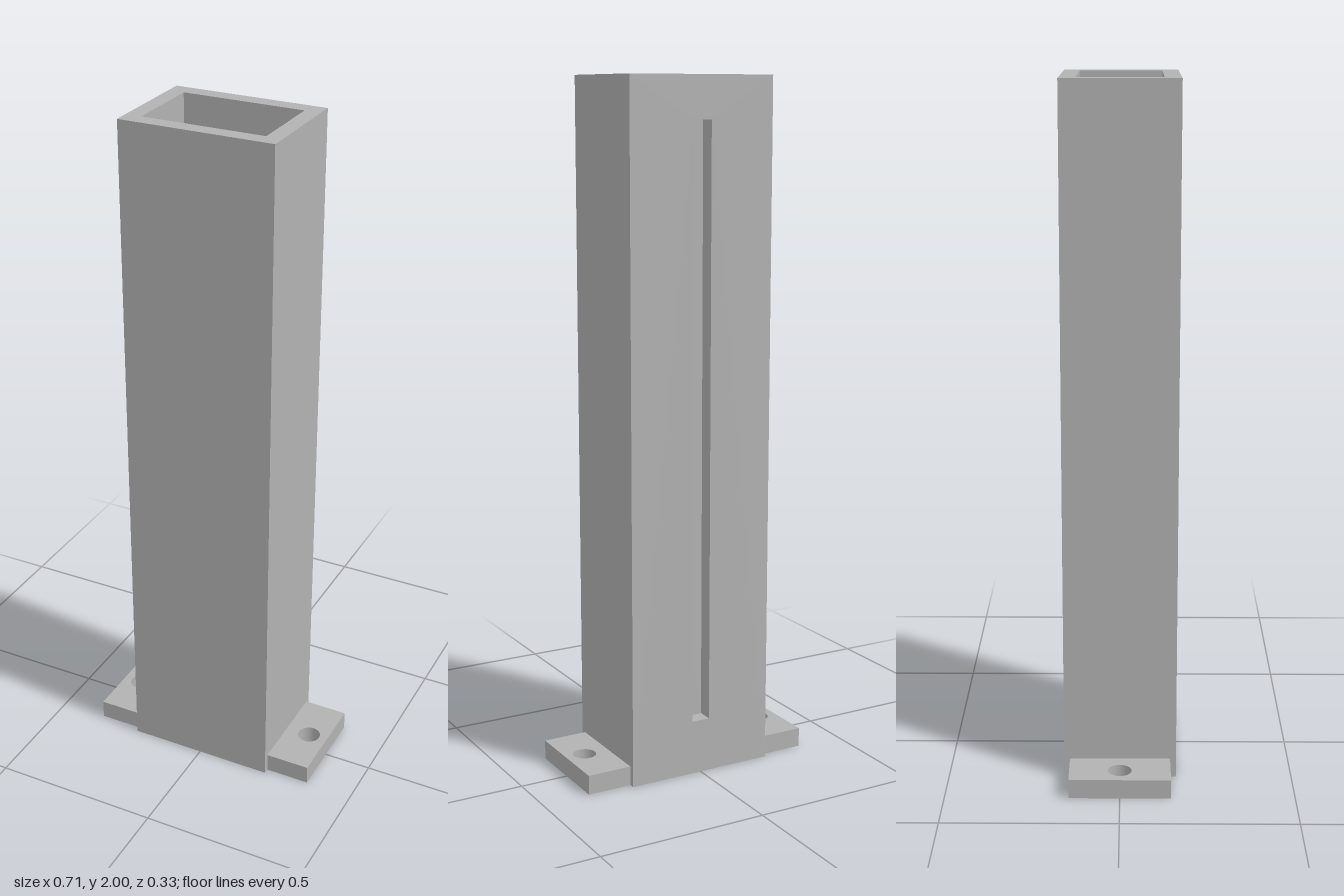
import * as THREE from 'three';
import { mergeGeometries } from 'three/addons/utils/BufferGeometryUtils.js';

const H = 2;                         // tower height
const OX = 0.224, OZ = 0.163;        // outer half sizes
const IX = 0.178, IZ = 0.117;        // cavity half sizes
const SLOT = { half: 0.028, y0: 0.16, y1: 1.88 };
const TAB = { end: 0.357, halfDepth: 0.146, height: 0.057, holeX: 0.298, holeR: 0.034 };

function trace(path, x0, y0, x1, y1) {
  path.moveTo(x0, y0);
  path.lineTo(x1, y0);
  path.lineTo(x1, y1);
  path.lineTo(x0, y1);
  path.closePath();
  return path;
}

// Flat rectangle facing +z with an optional hole
function panel(x0, y0, x1, y1, hole) {
  const shape = trace(new THREE.Shape(), x0, y0, x1, y1);
  if (hole) shape.holes.push(hole);
  return new THREE.ShapeGeometry(shape);
}

export function createModel() {
  const group = new THREE.Group();
  const grey = new THREE.MeshStandardMaterial({ color: 0xb2b2b2 });
  grey.name = 'grey';
  const add = (name, geometry) => {
    const mesh = new THREE.Mesh(geometry, grey);
    mesh.name = name;
    group.add(mesh);
    return mesh;
  };
  const slotHole = () => trace(new THREE.Path(), -SLOT.half, SLOT.y0, SLOT.half, SLOT.y1);
  const rimHole = () => trace(new THREE.Path(), -IX, -IZ, IX, IZ);

  // Outer skin, with the slot in the back
  add('outerWalls', mergeGeometries([
    panel(-OX, 0, OX, H).translate(0, 0, OZ),
    panel(-OX, 0, OX, H, slotHole()).rotateY(Math.PI).translate(0, 0, -OZ),
    panel(-OZ, 0, OZ, H).rotateY(Math.PI / 2).translate(OX, 0, 0),
    panel(-OZ, 0, OZ, H).rotateY(-Math.PI / 2).translate(-OX, 0, 0),
  ]));

  // Cavity skin, facing inward
  add('innerWalls', mergeGeometries([
    panel(-IX, 0, IX, H).rotateY(Math.PI).translate(0, 0, IZ),
    panel(-IX, 0, IX, H, slotHole()).translate(0, 0, -IZ),
    panel(-IZ, 0, IZ, H).rotateY(-Math.PI / 2).translate(IX, 0, 0),
    panel(-IZ, 0, IZ, H).rotateY(Math.PI / 2).translate(-IX, 0, 0),
  ]));

  // Open top and bottom rims
  add('rims', mergeGeometries([
    panel(-OX, -OZ, OX, OZ, rimHole()).rotateX(-Math.PI / 2).translate(0, H, 0),
    panel(-OX, -OZ, OX, OZ, rimHole()).rotateX(Math.PI / 2),
  ]));

  // Four faces lining the slot through the back wall
  const { half, y0, y1 } = SLOT;
  add('slotLining', mergeGeometries([
    panel(-OZ, y0, -IZ, y1).rotateY(Math.PI / 2).scale(1, 1, -1).translate(-half, 0, 0),
    panel(-OZ, y0, -IZ, y1).rotateY(-Math.PI / 2).translate(half, 0, 0),
    panel(-half, IZ, half, OZ).rotateX(-Math.PI / 2).translate(0, y0, 0),
    panel(-half, -OZ, half, -IZ).rotateX(Math.PI / 2).translate(0, y1, 0),
  ].map((g, i) => {
    // the mirrored lining face needs its corner order reversed
    if (i === 0) {
      g.index.array.reverse();
    }
    return g;
  })));

  // Mounting tabs with screw holes
  for (const [name, side] of [['leftTab', 1], ['rightTab', -1]]) {
    const shape = trace(new THREE.Shape(), OX, -TAB.halfDepth, TAB.end, TAB.halfDepth);
    shape.holes.push(new THREE.Path().absarc(TAB.holeX, 0, TAB.holeR, 0, Math.PI * 2, true));
    const geometry = new THREE.ExtrudeGeometry(shape, {
      depth: TAB.height, bevelEnabled: false, curveSegments: 32,
    }).rotateX(-Math.PI / 2);
    add(name, geometry).rotation.y = side > 0 ? 0 : Math.PI;
  }

  return group;
}
